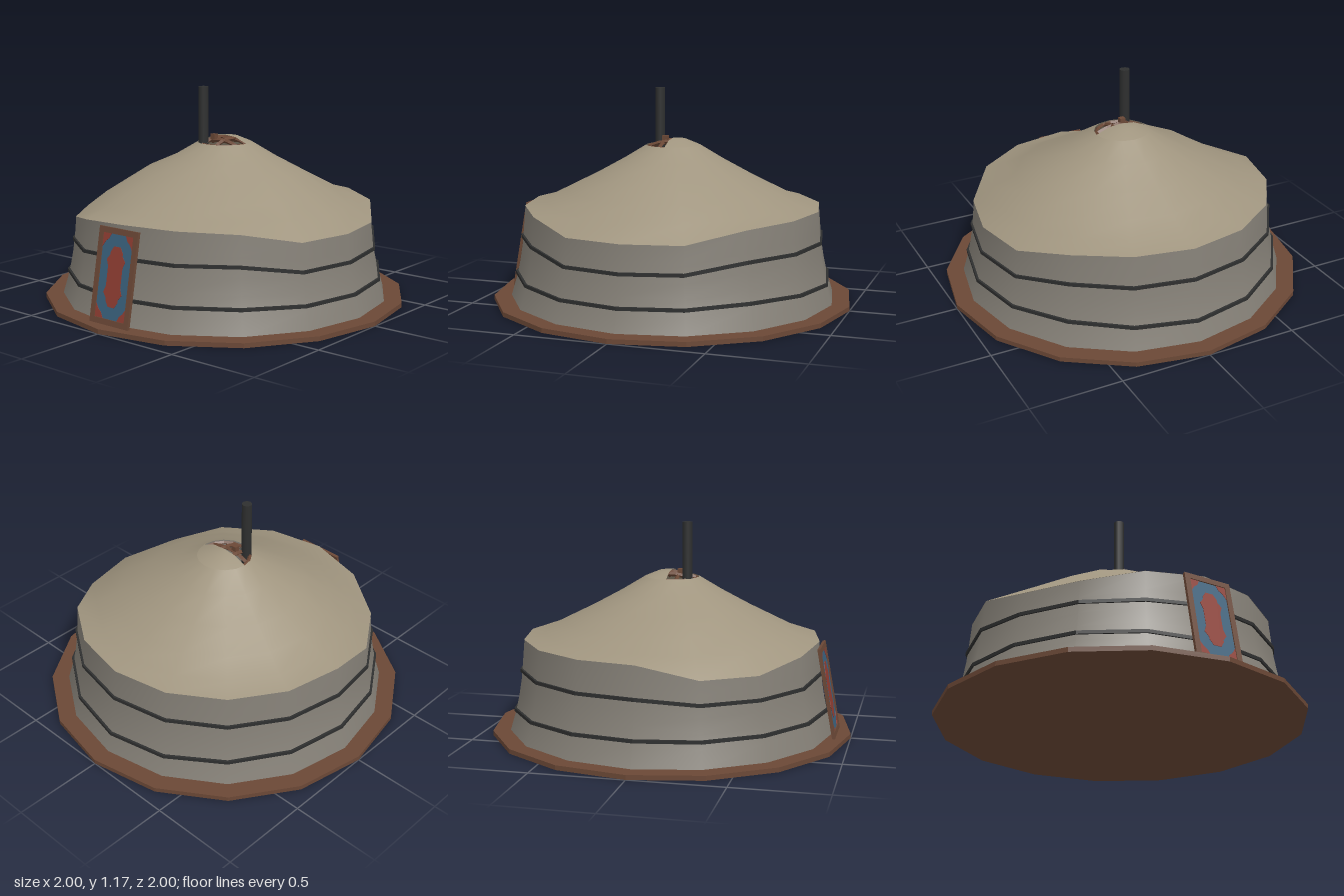
import * as THREE from 'three';

const SIDES = 16;
// Heights per corner, starting at +x and turning towards +z (the front)
const RIM = [.46, .46, .52, .53, .53, .505, .455, .455, .53, .53, .53, .53, .53, .53, .52, .46];
const UPPER = [.312, .312, .36, .36, .36, .337, .332, .332, .36, .36, .36, .36, .36, .36, .36, .315];
const LOWER = [.145, .145, .153, .155, .155, .155, .155, .155, .158, .155, .15, .14, .135, .148, .158, .147];

const mat = (color, opts = {}) => new THREE.MeshStandardMaterial({ color, ...opts });
const BROWN = 0x6b4836, DARK = 0x2e2f2f, BLUE = 0x3a617d, RED = 0x8f3d32;

function part(parent, name, geometry, material, x = 0, y = 0, z = 0) {
  const mesh = new THREE.Mesh(geometry, material);
  mesh.name = name;
  mesh.position.set(x, y, z);
  parent.add(mesh);
  return mesh;
}

// Surface through rows of corners; each row maps a corner index to [radius, height]
function loft(rows, from = 0, to = SIDES) {
  const full = to - from === SIDES, n = full ? SIDES : to - from + 1;
  const pos = [], index = [];
  for (const row of rows) {
    for (let i = 0; i < n; i++) {
      const k = (from + i) % SIDES, a = k / SIDES * Math.PI * 2, [r, y] = row(k);
      pos.push(Math.cos(a) * r, y, Math.sin(a) * r);
    }
  }
  for (let j = 0; j < rows.length - 1; j++) {
    for (let i = 0; i < to - from; i++) {
      const a = j * n + i, b = j * n + (i + 1) % n, c = a + n, d = b + n;
      index.push(a, c, b, b, c, d);
    }
  }
  const g = new THREE.BufferGeometry();
  g.setAttribute('position', new THREE.Float32BufferAttribute(pos, 3));
  g.setIndex(index);
  g.computeVertexNormals();
  return g;
}

// Radius of the felt wall at a given height
const WALL = [[.02, .905], [.13, .872], [.22, .852], [.32, .836], [.53, .818]];
function wallRadius(y) {
  for (let i = 1; i < WALL.length; i++) {
    const [y0, r0] = WALL[i - 1], [y1, r1] = WALL[i];
    if (y <= y1) return r0 + (r1 - r0) * (y - y0) / (y1 - y0);
  }
  return WALL[WALL.length - 1][1];
}

function strap(heights) {
  const corner = (dr, dy) => k => [wallRadius(heights[k]) + dr, heights[k] + dy];
  return loft([corner(-.01, -.009), corner(.011, -.009), corner(.011, .009), corner(-.01, .009)]);
}

function polygon(points, depth) {
  const shape = new THREE.Shape(points.map(p => new THREE.Vector2(...p)));
  return new THREE.ExtrudeGeometry(shape, { depth, bevelEnabled: false });
}

function createDoor() {
  const door = new THREE.Group();
  door.name = 'door';
  const w = .135, h = .495, t = .03;
  const frame = new THREE.Shape([[-w, 0], [w, 0], [w, h], [-w, h]].map(p => new THREE.Vector2(...p)));
  frame.holes.push(new THREE.Path([[-w + t, t], [-w + t, h - t], [w - t, h - t], [w - t, t]].map(p => new THREE.Vector2(...p))));
  part(door, 'doorFrame', new THREE.ExtrudeGeometry(frame, { depth: .016, bevelEnabled: false }), mat(BROWN), 0, 0, -.016);
  part(door, 'doorPanel', new THREE.BoxGeometry(.22, .445, .008), mat(BLUE), 0, h / 2, -.01);

  // Painted medallion and corner ornaments
  const half = [[.022, -.155], [.042, -.125], [.042, -.112], [.064, -.085], [.05, -.05], [.05, .05], [.064, .085], [.042, .112], [.042, .125], [.022, .155]];
  const outline = [...half, ...half.map(([x, y]) => [-x, y]).reverse()];
  part(door, 'doorMedallion', polygon(outline, .003), mat(RED), 0, h / 2, -.007);
  for (const sx of [-1, 1]) for (const sy of [-1, 1]) {
    const c = [[.105, .217], [.05, .217], [.065, .19], [.085, .175], [.105, .145]].map(([x, y]) => [x * sx, y * sy]);
    part(door, 'doorCorner', polygon(c, .003), mat(RED), 0, h / 2, -.007);
  }
  door.position.set(0, .026, .928);
  door.rotation.x = -.183;
  return door;
}

export function createModel() {
  const model = new THREE.Group();
  model.name = 'roundTent';

  // Wooden platform with a corner on each axis
  const platform = part(model, 'platform', new THREE.CylinderGeometry(1, 1, .025, SIDES), mat(BROWN, { flatShading: true }), 0, .0125, 0);
  platform.name = 'platform';

  // Felt wall reaching up to the uneven roof hem
  const felt = mat(0x858077, { side: THREE.DoubleSide });
  const wallRows = [0, .22, .4, .58, .78, 1].map(f => k => {
    const y = .02 + (RIM[k] - .02) * f;
    return [wallRadius(y), y];
  });
  part(model, 'wall', loft(wallRows), felt);
  part(model, 'upperStrap', strap(UPPER), mat(DARK, { flatShading: true }));
  part(model, 'lowerStrap', strap(LOWER), mat(DARK, { flatShading: true }));

  // Roof cover: radius, taut height, sagging height
  const roofFelt = mat(0xa0957f, { side: THREE.DoubleSide });
  const profile = [[.71, .56, .545], [.59, .62, .62], [.44, .695, .713], [.28, .783, .785], [.15, .862, .862]];
  const rows = [k => [wallRadius(RIM[k]) + .002, RIM[k]]];
  for (const [r, taut, sag] of profile) {
    rows.push(k => [r, taut + (sag - taut) * (.53 - RIM[k]) / .07]);
  }
  part(model, 'roof', loft(rows), roofFelt);

  // Flap covering the back half of the smoke hole
  part(model, 'smokeFlap', loft([() => [.15, .862], () => [.075, .893], () => [0, .9]], 8, 16), roofFelt);

  // Crown ring with crossing bars
  const crown = new THREE.Group();
  crown.name = 'crown';
  const wood = mat(BROWN, { flatShading: true });
  part(crown, 'crownRing', new THREE.TorusGeometry(.138, .011, 4, SIDES), wood, 0, .852, 0).rotation.x = Math.PI / 2;
  for (const s of [-1, 1]) {
    const arch = new THREE.CatmullRomCurve3([[-.13, .845], [-.07, .868], [0, .876], [.07, .868], [.13, .845]]
      .map(([u, y]) => new THREE.Vector3(u, y, s * .045)));
    part(crown, 'crossBar', new THREE.TubeGeometry(arch, 8, .012, 4), wood);
    const long = part(crown, 'longBar', new THREE.TubeGeometry(arch, 8, .012, 4), wood, 0, .004, 0);
    long.rotation.y = Math.PI / 2;
    long.position.x = -.01;
  }
  part(crown, 'crownPeg', new THREE.BoxGeometry(.03, .03, .03), wood, -.03, .893, .055);
  model.add(crown);

  // Stove pipe through the smoke hole
  part(model, 'stovePipe', new THREE.CylinderGeometry(.028, .028, .57, 10), mat(DARK), -.07, .885, .1);

  model.add(createDoor());
  return model;
}
